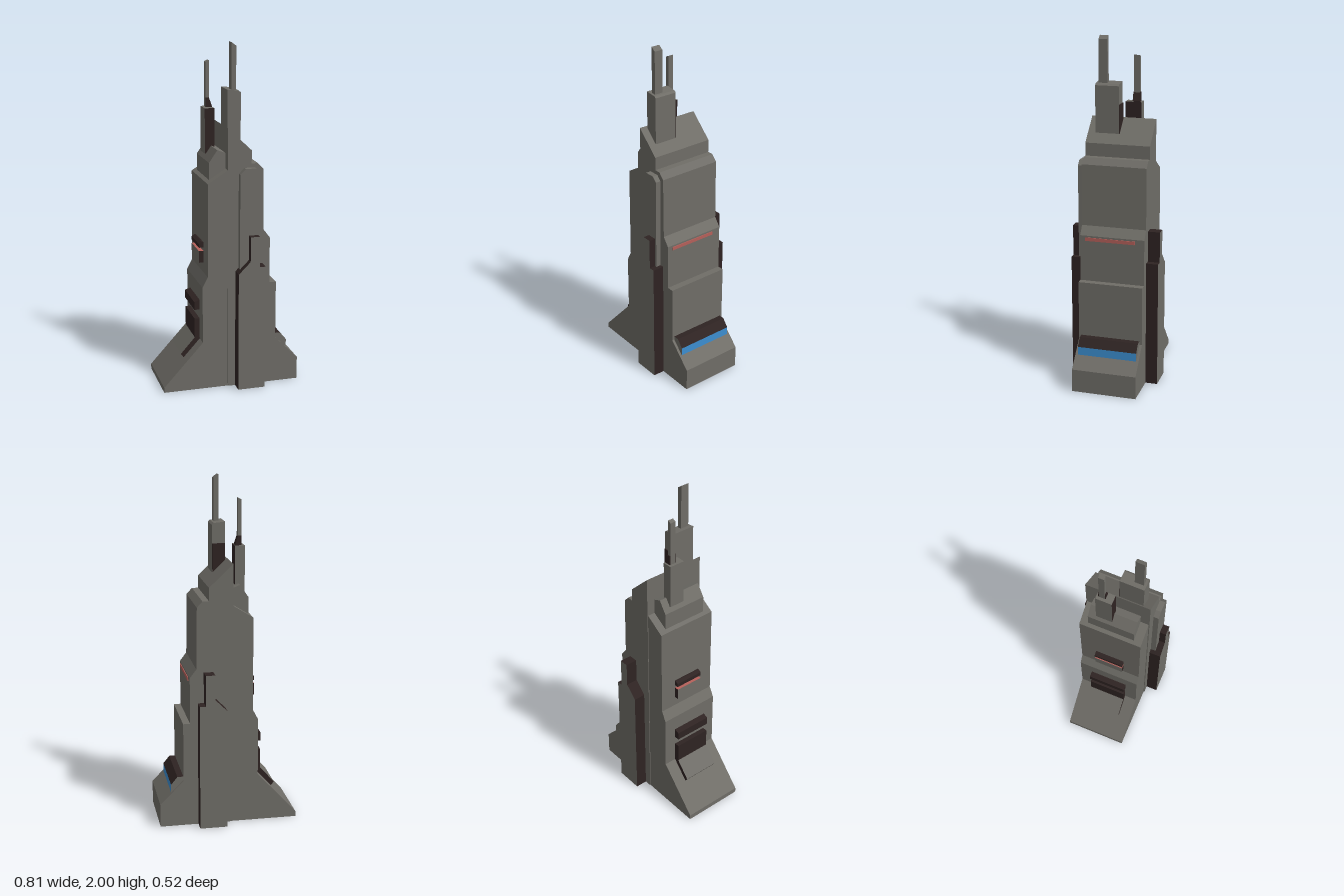
import * as THREE from 'three';

const paint = (name, color) => {
  const m = new THREE.MeshStandardMaterial({ color });
  m.name = name;
  return m;
};

export function createModel() {
  const tower = new THREE.Group();
  tower.name = 'tower';
  const stone = paint('stone grey', 0x6f6d67);
  const dark = paint('dark brown', 0x2e2322);
  const blue = paint('blue light', 0x3d8fd1);
  const red = paint('red light', 0xb5605a);

  // Prism from a counter-clockwise xy profile; accents recolour the side starting at a given point
  function prism(name, pts, z0, z1, cap = stone, side = stone, accents = {}) {
    const n = pts.length;
    const shape = new THREE.Shape(pts.map(([x, y]) => new THREE.Vector2(x, y)));
    const geo = new THREE.ExtrudeGeometry(shape, { depth: z1 - z0, bevelEnabled: false });
    geo.translate(0, 0, z0);
    const [lids, walls] = geo.groups.map((g) => ({ ...g }));
    geo.clearGroups();
    geo.addGroup(lids.start, lids.count, 0);
    const mats = [cap];
    for (let q = 0; q < n; q++) {
      const edge = (n - 2 - q + n) % n;
      geo.addGroup(walls.start + q * 6, 6, mats.length);
      mats.push(accents[edge] || side);
    }
    const mesh = new THREE.Mesh(geo, mats);
    mesh.name = name;
    tower.add(mesh);
    return mesh;
  }

  // Box from its limits, one material or six (+x -x +y -y +z -z)
  function box(name, x0, x1, y0, y1, z0, z1, mat = stone) {
    const mesh = new THREE.Mesh(new THREE.BoxGeometry(x1 - x0, y1 - y0, z1 - z0), mat);
    mesh.position.set((x0 + x1) / 2, (y0 + y1) / 2, (z0 + z1) / 2);
    mesh.name = name;
    tower.add(mesh);
    return mesh;
  }

  // Main stepped halves
  prism('leftBody', [
    [-0.02, 0], [0.403, 0], [0.403, 0.135], [0.265, 0.275], [0.265, 0.62], [0.225, 0.62],
    [0.225, 0.89], [0.187, 0.94], [0.182, 1.295], [0.15, 1.33], [0.113, 1.33],
    [0.113, 1.405], [-0.024, 1.535], [-0.024, 0.02],
  ], -0.19, 0.188);
  prism('rightBody', [
    [-0.405, 0], [-0.02, 0], [-0.02, 1.30], [-0.14, 1.225], [-0.142, 0.68],
    [-0.173, 0.62], [-0.173, 0.285], [-0.405, 0.03],
  ], -0.186, 0.183);
  prism('rightShoulder', [
    [-0.12, 1.2], [-0.02, 1.2], [-0.02, 1.385], [-0.072, 1.405], [-0.12, 1.335],
  ], -0.14, 0.135);

  // Buttresses on the front and back
  const buttress = [
    [0.02, 0], [0.18, 0], [0.18, 0.74], [0.145, 0.74], [0.145, 0.92],
    [0.09, 0.92], [0.09, 0.775], [0.02, 0.705],
  ];
  prism('frontButtress', buttress, 0.18, 0.257, stone, dark);
  prism('backButtress', buttress, -0.26, -0.18, stone, dark);
  prism('frontPilaster', [
    [0.038, 0], [0.157, 0], [0.157, 1.28], [0.132, 1.307], [0.07, 1.307], [0.038, 1.275],
  ], 0.18, 0.219);

  // Lit canopy and light strip on the left side
  prism('leftCanopy', [
    [0.26, 0.27], [0.337, 0.2], [0.337, 0.25], [0.3, 0.296], [0.26, 0.296],
  ], -0.176, 0.173, stone, dark, { 2: blue });
  box('leftLightStrip', 0.222, 0.229, 0.86, 0.88, -0.135, 0.157, red);

  // Porch and ledges on the right side
  prism('rightPorch', [
    [-0.287, 0.2], [-0.27, 0.175], [-0.165, 0.27], [-0.165, 0.41], [-0.203, 0.41], [-0.203, 0.295],
  ], -0.112, 0.11, dark, dark, { 3: blue, 4: stone, 5: stone });
  prism('rightLowerLedge', [
    [-0.205, 0.465], [-0.165, 0.465], [-0.165, 0.527], [-0.205, 0.513],
  ], -0.114, 0.112, dark, dark);
  box('rightMiddleLedge', -0.168, -0.135, 0.74, 0.81, -0.088, 0.085,
    [dark, stone, red, dark, dark, dark]);
  prism('rightUpperLedge', [
    [-0.168, 0.83], [-0.135, 0.83], [-0.135, 0.862], [-0.15, 0.862], [-0.168, 0.852],
  ], -0.09, 0.085, dark, dark, { 2: stone, 3: stone });

  // Front spire
  prism('frontSpireBase', [
    [-0.015, 1.45], [0.061, 1.45], [0.061, 1.725], [0.05, 1.735], [-0.015, 1.742],
  ], 0.006, 0.144);
  box('frontSpireBackPanel', -0.014, 0.06, 1.45, 1.62, 0.001, 0.006, dark);
  prism('frontMast', [
    [0.011, 1.7], [0.038, 1.7], [0.038, 1.98], [0.011, 2.0],
  ], 0.079, 0.13, stone, stone, { 2: red });

  // Back spire
  box('backSpireBase', -0.108, -0.052, 1.36, 1.62, -0.095, 0,
    [dark, stone, stone, dark, dark, stone]);
  prism('backMastFoot', [
    [-0.09, 1.6], [-0.055, 1.6], [-0.055, 1.625], [-0.072, 1.675], [-0.09, 1.675],
  ], -0.085, -0.042, dark, dark);
  prism('backMast', [
    [-0.091, 1.6], [-0.071, 1.6], [-0.071, 1.885], [-0.091, 1.875],
  ], -0.08, -0.046, stone, stone, { 2: red });

  return tower;
}
